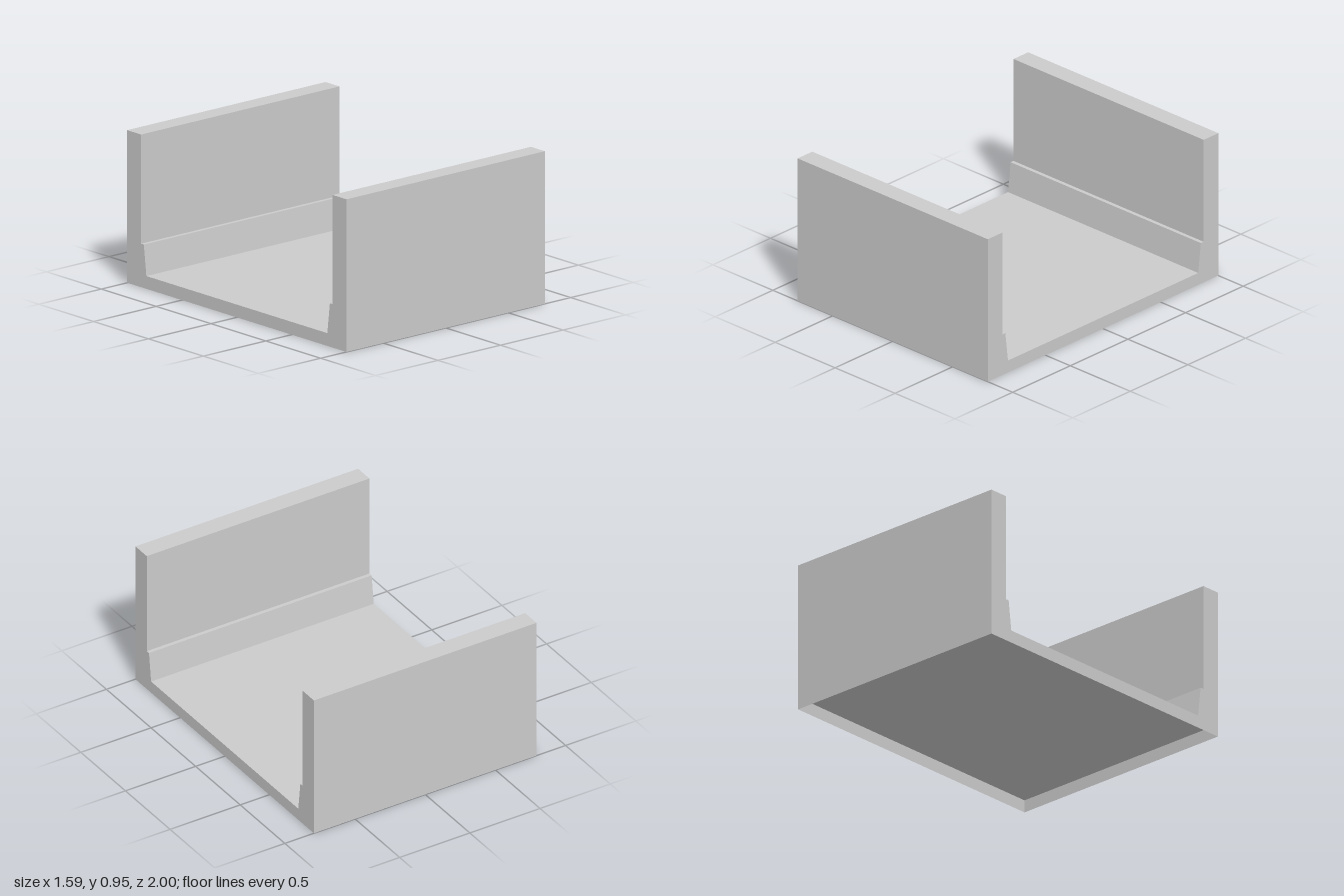
import * as THREE from 'three';

const HALF_X = 0.793, HALF_Z = 1, FLOOR_Y = 0.08, TOP_Y = 0.955;

export function createModel() {
  const group = new THREE.Group();
  const solid = new THREE.MeshStandardMaterial({ color: 0xcccccc, flatShading: true });
  const sheet = new THREE.MeshStandardMaterial({ color: 0xcccccc, flatShading: true, side: THREE.DoubleSide });

  const add = (name, geometry, material) => {
    const mesh = new THREE.Mesh(geometry, material);
    mesh.name = name;
    group.add(mesh);
    return mesh;
  };

  // Upright walls: (z, y) section with a sloped foot and a small ledge
  const section = new THREE.Shape([
    [HALF_Z, FLOOR_Y], [HALF_Z, TOP_Y], [0.873, TOP_Y],
    [0.873, 0.272], [0.848, 0.272], [0.825, FLOOR_Y],
  ].map(([z, y]) => new THREE.Vector2(z, y)));
  for (const [name, turn] of [['frontWall', -Math.PI / 2], ['backWall', Math.PI / 2]]) {
    const wall = new THREE.ExtrudeGeometry(section, { depth: 2 * HALF_X, bevelEnabled: false });
    wall.translate(0, 0, -HALF_X);
    wall.rotateY(turn);
    add(name, wall, solid);
  }

  // Thin floor between the walls
  const floor = new THREE.PlaneGeometry(2 * HALF_X, 2 * 0.825);
  floor.rotateX(-Math.PI / 2);
  add('floor', floor, sheet).position.y = FLOOR_Y;

  // Thin skirt around the footprint, open underneath
  for (let i = 0; i < 4; i++) {
    const onZ = i % 2 === 0;
    const side = new THREE.PlaneGeometry(2 * (onZ ? HALF_X : HALF_Z), FLOOR_Y);
    side.translate(0, FLOOR_Y / 2, onZ ? HALF_Z : HALF_X);
    side.rotateY(i * Math.PI / 2);
    add(['frontSkirt', 'leftSkirt', 'backSkirt', 'rightSkirt'][i], side, sheet);
  }
  return group;
}
